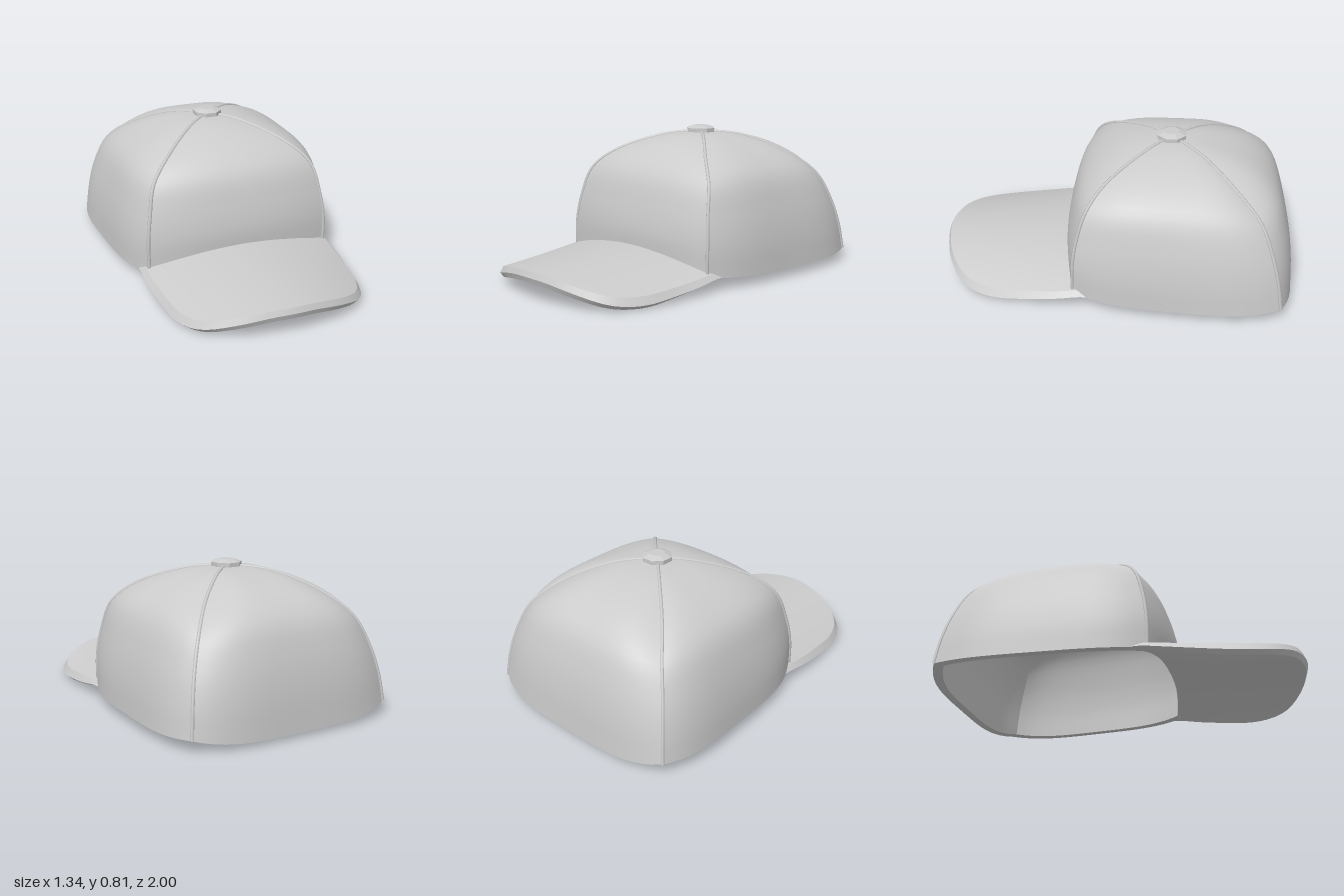
import * as THREE from 'three';

const V = (x, y, z) => new THREE.Vector3(x, y, z);
const material = new THREE.MeshStandardMaterial({ color: 0xcccccc });
const spline = (pts) => new THREE.CatmullRomCurve3(pts.map((p) => V(...p)));

// Smooth surface from a rule: i runs left to right, j runs downwards (seen from its front).
function grid(name, cols, rows, rule) {
  const pos = [], index = [];
  for (let j = 0; j <= rows; j++)
    for (let i = 0; i <= cols; i++) pos.push(...rule(i / cols, j / rows).toArray());
  for (let j = 0; j < rows; j++)
    for (let i = 0; i < cols; i++) {
      const a = j * (cols + 1) + i, b = a + cols + 1;
      index.push(a, b, a + 1, b, b + 1, a + 1);
    }
  const g = new THREE.BufferGeometry();
  g.setAttribute('position', new THREE.Float32BufferAttribute(pos, 3));
  g.setIndex(index);
  g.computeVertexNormals();
  const mesh = new THREE.Mesh(g, material);
  mesh.name = name;
  return mesh;
}

// Crown profiles from apex to rim; s mirrors them to the other side.
const frontSeam = (s) => spline([[0, 0.785, -0.3], [s * 0.15, 0.765, -0.16], [s * 0.36, 0.67, 0.05],
  [s * 0.47, 0.56, 0.145], [s * 0.51, 0.4, 0.195], [s * 0.53, 0.25, 0.217], [s * 0.53, 0.08, 0.22]]);
const backSeam = (s) => spline([[0, 0.785, -0.3], [s * 0.17, 0.762, -0.46], [s * 0.36, 0.665, -0.64],
  [s * 0.49, 0.535, -0.78], [s * 0.555, 0.38, -0.845], [s * 0.59, 0.23, -0.885], [s * 0.61, 0.07, -0.91]]);
const sideMiddle = (s) => spline([[0, 0.785, -0.3], [s * 0.2, 0.765, -0.31], [s * 0.4, 0.69, -0.33],
  [s * 0.54, 0.58, -0.345], [s * 0.61, 0.4, -0.345], [s * 0.645, 0.22, -0.345], [s * 0.655, 0.06, -0.345]]);
const frontMiddle = spline([[0, 0.785, -0.3], [0, 0.765, -0.1], [0, 0.69, 0.08],
  [0, 0.58, 0.2], [0, 0.42, 0.255], [0, 0.27, 0.28], [0, 0.15, 0.277]]);
const backMiddle = spline([[0, 0.785, -0.3], [0, 0.765, -0.52], [0, 0.69, -0.75],
  [0, 0.58, -0.885], [0, 0.42, -0.95], [0, 0.24, -0.985], [0, 0.03, -1]]);

// One crown panel: outer cloth, lining and the rim between them.
function panel(name, a, middle, b, power) {
  const outer = (i, v) => {
    const u = 2 * i - 1, A = a.getPoint(v), B = b.getPoint(v);
    const bulge = middle.getPoint(v).sub(A.clone().add(B).multiplyScalar(0.5));
    return A.lerp(B, i).addScaledVector(bulge, 1 - Math.abs(u) ** power);
  };
  const inner = (i, v) => {
    const p = outer(i, v);
    return V(p.x * 0.935, p.y - 0.04 * (1 - v), -0.3 + (p.z + 0.3) * 0.935);
  };
  const group = new THREE.Group();
  group.name = name;
  group.add(
    grid(name + 'Outside', 24, 24, outer),
    grid(name + 'Lining', 24, 24, (i, v) => inner(1 - i, v)),
    grid(name + 'Rim', 24, 1, (i, v) => (v ? inner(i, 1) : outer(i, 1))));
  return group;
}

// Curved bill: a top sheet, a bevelled edge and an underside.
function makeBill() {
  const half = [[0.57, 0.13], [0.572, 0.3], [0.555, 0.5], [0.53, 0.67], [0.485, 0.785],
    [0.42, 0.865], [0.27, 0.95], [0.1, 0.99]];
  const outline = spline([...half.map(([x, z]) => [-x, 0, z]), [0, 0, 1],
    ...half.slice().reverse().map(([x, z]) => [x, 0, z])]);
  const forward = (z) => THREE.MathUtils.clamp((z - 0.2) / 0.8, 0, 1);
  const height = (x, z) => 0.19 - 0.025 * forward(z) - (0.29 + 0.22 * forward(z)) * x * x;
  const thickness = (z) => 0.038 + 0.024 * Math.min(1, forward(z) * 2);
  const back = (i) => V(0.54 * (2 * i - 1), 0, 0.25 - 0.06 * (2 * i - 1) ** 2);
  // depth 0 is the top sheet, 1 the underside
  const sheet = (i, t, depth) => {
    const edge = outline.getPointAt(i);
    if (depth !== 0.5) { edge.x *= 0.955; edge.z -= 0.012 * forward(edge.z); }
    const p = back(i).lerp(edge, t);
    p.y = height(p.x, p.z) - depth * thickness(p.z);
    return p;
  };
  const bill = new THREE.Group();
  bill.name = 'bill';
  bill.add(
    grid('billTop', 48, 12, (i, t) => sheet(i, t, 0)),
    grid('billUpperBevel', 48, 1, (i, t) => sheet(i, 1, t * 0.5)),
    grid('billLowerBevel', 48, 1, (i, t) => sheet(i, 1, 0.5 + t * 0.5)),
    grid('billUnderside', 48, 12, (i, t) => sheet(i, 1 - t, 1)),
    grid('billBackEdge', 48, 1, (i, t) => sheet(i, 0, 1 - t)));
  return bill;
}

export function createModel() {
  const cap = new THREE.Group();
  cap.name = 'cap';

  // Four crown panels, in order around the head
  cap.add(
    panel('frontPanel', frontSeam(-1), frontMiddle, frontSeam(1), 2.4),
    panel('leftPanel', frontSeam(1), sideMiddle(1), backSeam(1), 3.6),
    panel('backPanel', backSeam(1), backMiddle, backSeam(-1), 4),
    panel('rightPanel', backSeam(-1), sideMiddle(-1), frontSeam(-1), 3.6));

  // Piping along the seams
  for (const s of [-1, 1])
    for (const [name, curve] of [['frontSeam', frontSeam(s)], ['backSeam', backSeam(s)]]) {
      const piping = new THREE.Mesh(new THREE.TubeGeometry(curve, 40, 0.01, 6), material);
      piping.name = (s > 0 ? 'left ' : 'right ') + name;
      cap.add(piping);
    }

  cap.add(makeBill());

  // Eight-sided button on the apex
  const profile = [[0.084, 0.77], [0.084, 0.802], [0.045, 0.817], [0, 0.817]];
  const faceted = material.clone();
  faceted.flatShading = true;
  const button = new THREE.Mesh(
    new THREE.LatheGeometry(profile.map(([r, y]) => new THREE.Vector2(r, y)), 8, Math.PI / 8), faceted);
  button.name = 'button';
  button.position.z = -0.3;
  cap.add(button);

  return cap;
}
